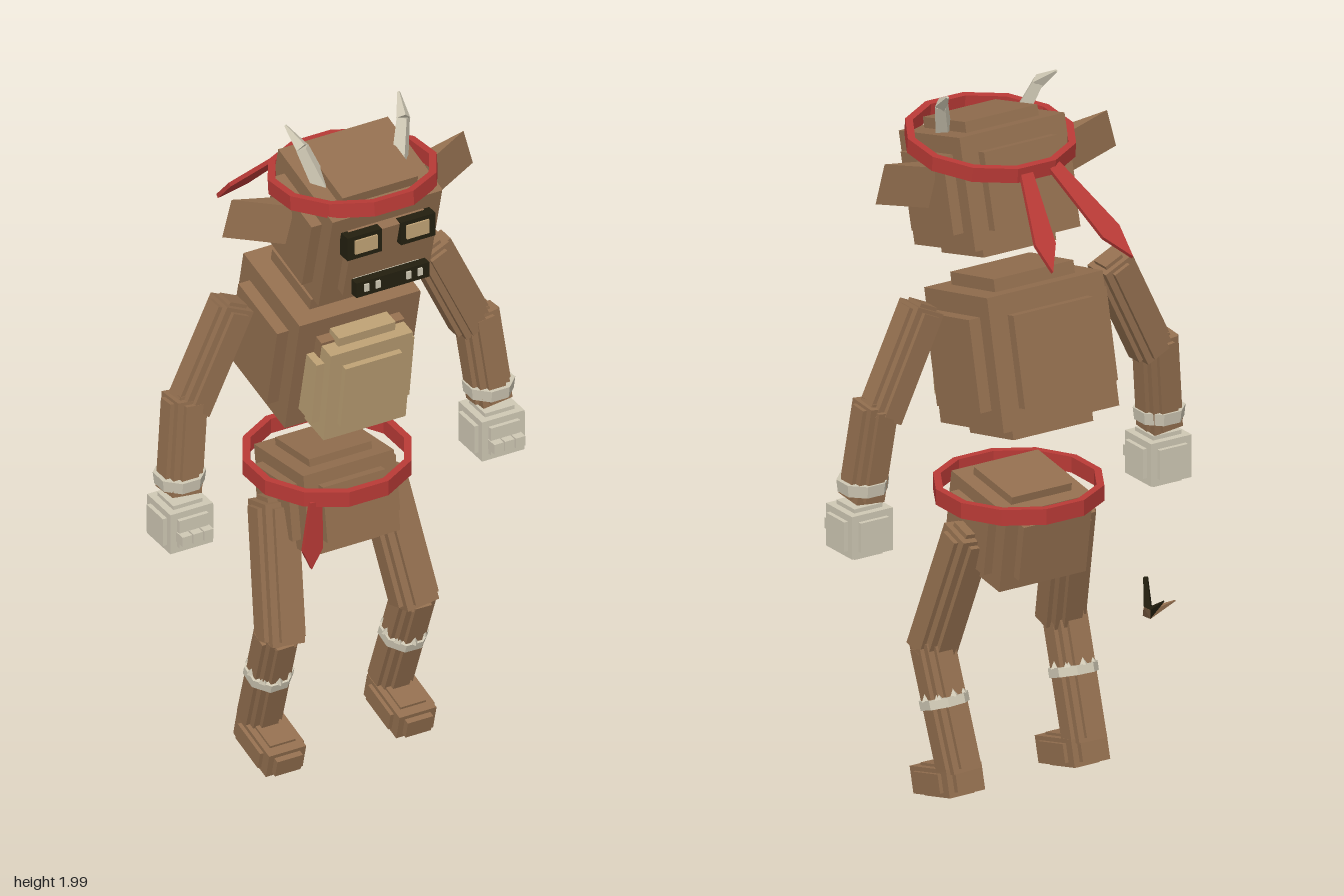
import * as THREE from 'three';

const material = (name, color, side = THREE.FrontSide) => {
  const m = new THREE.MeshStandardMaterial({ color, side });
  m.name = name;
  return m;
};
const V = (x, y, z) => new THREE.Vector3(x, y, z);

export function createModel() {
  const root = new THREE.Group();
  root.name = 'hornedCreature';
  const brown = material('brown', 0x936f4f);
  const tan = material('tan', 0xbb9f73);
  const pale = material('pale bone', 0xcfc8b4);
  const red = material('red cloth', 0xb93a36, THREE.DoubleSide);
  const dark = material('dark', 0x231f0f);
  const eyeTan = material('eye tan', 0xc0a274);

  function add(name, geo, mat, pos = V(0, 0, 0), rx = 0, parent = root) {
    const flat = geo.index ? geo.toNonIndexed() : geo;
    flat.computeVertexNormals();
    const m = new THREE.Mesh(flat, mat);
    m.name = name;
    m.position.copy(pos);
    m.rotation.x = rx;
    parent.add(m);
    return m;
  }
  const box = (name, w, h, d, mat, pos, rx, parent) =>
    add(name, new THREE.BoxGeometry(w, h, d), mat, pos, rx, parent);

  // Rounded block made of crossing boxes
  function blob(name, w, h, d, mat, pos, rx = 0) {
    const g = new THREE.Group();
    g.name = name;
    g.position.copy(pos);
    g.rotation.x = rx;
    const k = 0.58;
    [[1, k, k], [k, 1, k], [k, k, 1], [0.84, 0.84, 0.84]].forEach(([a, b, c]) =>
      box(name + 'Block', w * a, h * b, d * c, mat, V(0, 0, 0), 0, g));
    root.add(g);
    return g;
  }

  // Points an object's y axis from a to b, keeping its x axis sideways
  function orient(o, a, b, at = 0.5) {
    const y = b.clone().sub(a).normalize();
    const x = V(1, 0, 0).addScaledVector(y, -y.x).normalize();
    const z = x.clone().cross(y);
    o.quaternion.setFromRotationMatrix(new THREE.Matrix4().makeBasis(x, y, z));
    o.position.lerpVectors(a, b, at);
    return o;
  }

  // Log-like limb with ridged sides and stepped ends
  function limb(name, a, b, w) {
    const g = new THREE.Group();
    g.name = name;
    const l = a.distanceTo(b);
    [[1, 0.88, 0.45], [0.45, 0.88, 1], [0.78, 0.94, 0.78], [0.5, 1, 0.5]].forEach(([x, y, z]) =>
      box(name + 'Plank', w * x, l * y, w * z, brown, V(0, 0, 0), 0, g));
    root.add(orient(g, a, b));
  }

  const spike = (name, a, b, r0, r1, mat) =>
    orient(add(name, new THREE.CylinderGeometry(r1, r0, a.distanceTo(b), 4), mat), a, b);

  // Twelve-sided cloth ring
  function ring(name, h, pos, rx) {
    const o = 0.233, i = 0.212, t = h / 2;
    const p = [[o, -t], [o, t], [i, t], [i, -t], [o, -t]].map(q => new THREE.Vector2(...q));
    add(name, new THREE.LatheGeometry(p, 12, Math.PI / 12), red, pos, rx);
  }

  // Pointed cloth strip
  function ribbon(name, a, b, w) {
    const l = a.distanceTo(b), s = new THREE.Shape();
    [[-w * 0.3, 0], [w * 0.3, 0], [w / 2, l * 0.72], [0, l], [-w / 2, l * 0.72]]
      .forEach(([x, y], i) => (i ? s.lineTo(x, y) : s.moveTo(x, y)));
    const geo = new THREE.ExtrudeGeometry(s, { depth: 0.012, bevelEnabled: false });
    orient(add(name, geo.translate(0, 0, -0.006), red), a, b, 0);
  }

  // Head, torso, belly and hips
  blob('head', 0.4, 0.37, 0.36, brown, V(0, 1.705, 0.31), 0.25);
  blob('torso', 0.44, 0.44, 0.37, brown, V(0, 1.275, 0.155), 0.22);
  blob('belly', 0.3, 0.34, 0.22, tan, V(0, 1.215, 0.3), 0.14);
  blob('hips', 0.33, 0.28, 0.32, brown, V(0, 0.77, 0.17), -0.15);

  // Headband and belt with hanging ends
  ring('headband', 0.042, V(0, 1.823, 0.307), -0.105);
  ring('belt', 0.045, V(0, 0.868, 0.17), 0);
  ribbon('headbandTail', V(-0.06, 1.8, 0.09), V(-0.175, 1.58, -0.115), 0.066);
  ribbon('headbandTail', V(0.03, 1.8, 0.09), V(0.065, 1.58, -0.09), 0.062);
  ribbon('sash', V(-0.135, 0.86, 0.345), V(-0.147, 0.65, 0.34), 0.06);

  // Mouth and teeth
  box('mouth', 0.224, 0.045, 0.026, dark, V(0, 1.604, 0.511));
  box('gums', 0.2, 0.032, 0.012, pale, V(0, 1.604, 0.492));
  [-0.082, -0.047, 0.047, 0.082].forEach(x => {
    box('tooth', 0.014, 0.022, 0.006, pale, V(x, 1.607, 0.526));
  });

  for (const s of [-1, 1]) {
    // Eyes
    box('eyeSocket', 0.106, 0.07, 0.04, dark, V(s * 0.082, 1.735, 0.497));
    box('eye', 0.068, 0.042, 0.006, eyeTan, V(s * 0.079, 1.737, 0.519));

    // Ears taper to a thin outer edge
    const ear = new THREE.BoxGeometry(0.17, 0.112, 0.06);
    const p = ear.attributes.position;
    for (let i = 0; i < p.count; i++) if (p.getX(i) * s > 0) p.setZ(i, -0.022);
    add('ear', ear, brown, V(s * 0.288, 1.757, 0.302)).rotation.z = s * 0.26;

    // Bent horns
    const bend = V(s * 0.155, 1.95, 0.308);
    spike('hornBase', V(s * 0.12, 1.84, 0.35), bend, 0.026, 0.02, pale);
    spike('hornTip', bend, V(s * 0.174, 1.995, 0.25), 0.02, 0.004, pale);

    // Arms
    limb('upperArm', V(s * 0.295, 1.455, 0.185), V(s * 0.44, 1.15, 0.185), 0.115);
    limb('forearm', V(s * 0.445, 1.21, 0.185), V(s * 0.478, 0.92, 0.21), 0.115);
    const cuff = new THREE.CylinderGeometry(0.072, 0.068, 0.034, 8);
    add('wristBand', cuff.rotateY(Math.PI / 8), pale, V(s * 0.474, 0.968, 0.207));

    // Hands with knuckles
    blob('hand', 0.155, 0.145, 0.15, pale, V(s * 0.478, 0.843, 0.217));
    [-1, 0, 1].forEach(i =>
      box('knuckle', 0.029, 0.03, 0.04, pale, V(s * 0.478 + i * 0.033, 0.832, 0.295)));

    // Legs
    const knee = V(s * 0.212, 0.45, 0.275), ankle = V(s * 0.2, 0.09, 0.15);
    limb('thigh', V(s * 0.162, 0.79, 0.16), V(s * 0.208, 0.395, 0.285), 0.125);
    limb('shin', knee, ankle, 0.112);

    // Shin wrap with jagged edges
    const wrap = new THREE.Group();
    wrap.name = 'shinWrap';
    add('wrapBand', new THREE.CylinderGeometry(0.068, 0.068, 0.026, 8, 1).rotateY(Math.PI / 8),
      pale, V(0, 0, 0), 0, wrap);
    for (let i = 0; i < 8; i++) {
      const a = i * Math.PI / 4;
      add('wrapPoint', new THREE.ConeGeometry(0.014, 0.022, 4), pale,
        V(Math.sin(a) * 0.055, 0.022, Math.cos(a) * 0.055), 0, wrap);
    }
    root.add(orient(wrap, ankle, knee, 0.54));

    // Feet
    blob('foot', 0.135, 0.09, 0.215, brown, V(s * 0.2, 0.064, 0.212), 0.25);
  }

  // Tail tuft
  const tuft = V(0, 0.71, -0.455);
  spike('tuftTop', tuft, V(0, 0.81, -0.442), 0.014, 0.008, dark);
  spike('tuftBack', tuft, V(0, 0.77, -0.53), 0.016, 0.002, dark);
  for (const s of [-1, 1])
    spike('tuftSide', tuft, V(s * 0.05, 0.755, -0.51), 0.016, 0.002, brown);

  return root;
}
